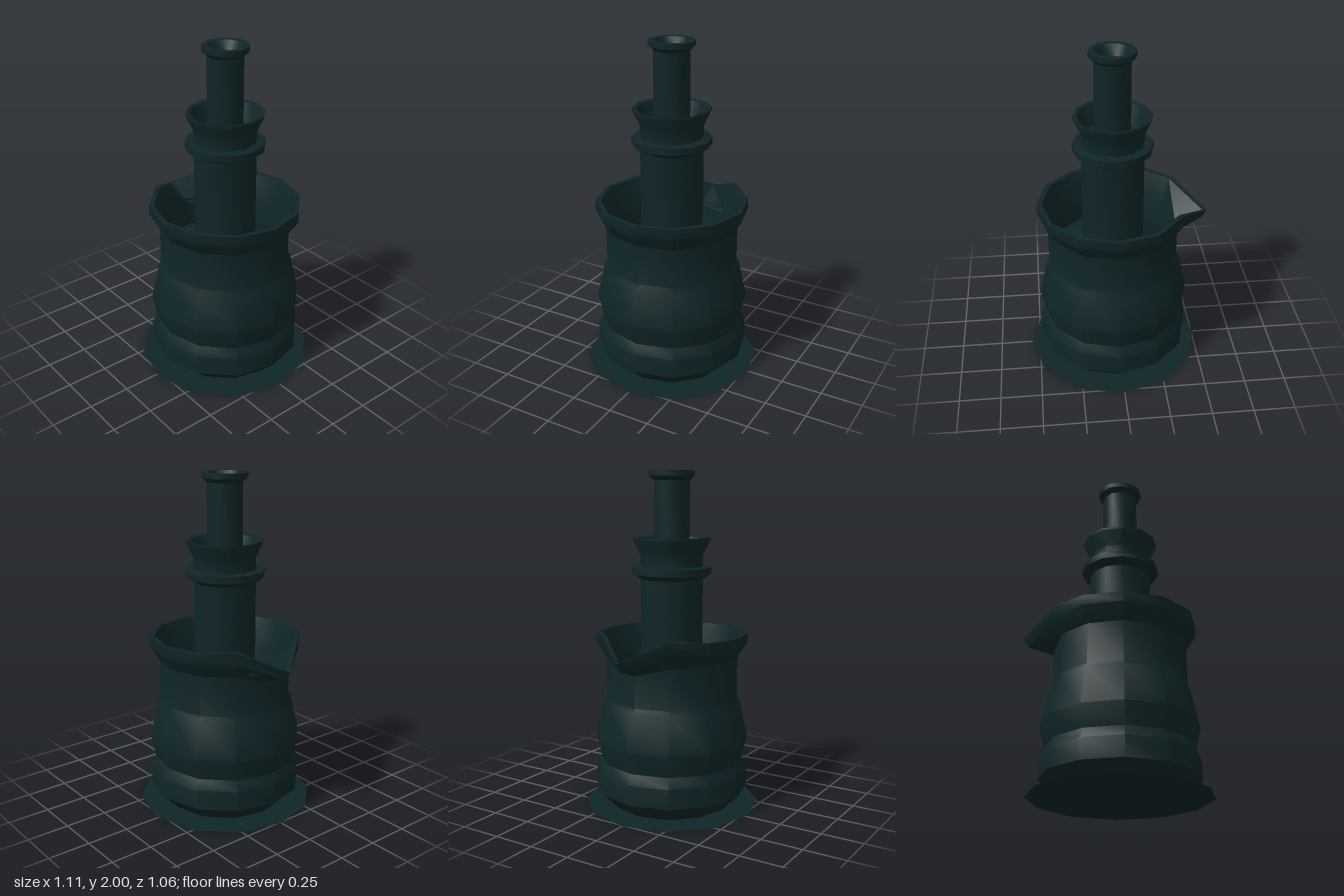
import * as THREE from 'three';
import { toCreasedNormals } from 'three/addons/utils/BufferGeometryUtils.js';

const SIDES = 12;
const CREASE = 0.6;

// Faceted turned shape; an optional rule moves the vertices before normals are made
function turned(name, profile, material, rule) {
  const points = profile.map(([r, y]) => new THREE.Vector2(r, y));
  const geometry = new THREE.LatheGeometry(points, SIDES);
  if (rule) {
    const pos = geometry.attributes.position;
    for (let i = 0; i < pos.count; i++) {
      const column = Math.floor(i / points.length) % SIDES;
      rule(pos, i, column, i % points.length);
    }
  }
  const mesh = new THREE.Mesh(toCreasedNormals(geometry, CREASE), material);
  mesh.name = name;
  return mesh;
}

export function createModel() {
  const darkTeal = new THREE.MeshStandardMaterial({ color: 0x0f2527, side: THREE.DoubleSide });
  darkTeal.name = 'darkTeal';

  const model = new THREE.Group();
  model.name = 'pouringVessel';
  const turnedParts = new THREE.Group();
  turnedParts.name = 'turnedParts';
  turnedParts.position.x = 0.02;
  model.add(turnedParts);

  // Flat sheet under the vessel
  const base = new THREE.Mesh(new THREE.CircleGeometry(0.53, SIDES), darkTeal);
  base.name = 'baseSheet';
  base.rotation.x = Math.PI / 2;
  turnedParts.add(base);

  // Bulging body below the rim
  turnedParts.add(turned('body', [
    [0.36, 0], [0.46, 0.1], [0.46, 0.22], [0.43, 0.28], [0.46, 0.41],
    [0.412, 0.63], [0.396, 0.66], [0.396, 0.9],
  ], darkTeal));

  // Flared rim and bowl, with the column at -x drawn out into a spout
  const spout = { 0: [-0.4, 0.85], 1: [-0.54, 0.9], 2: [-0.575, 0.95], 3: [-0.545, 0.955], 4: [-0.38, 0.88] };
  turnedParts.add(turned('rimAndSpout', [
    [0.396, 0.9], [0.455, 0.99], [0.455, 1.05], [0.425, 1.05],
    [0.37, 0.88], [0.36, 0.74], [0.19, 0.83],
  ], darkTeal, (pos, i, column, row) => {
    if (column === 9 && spout[row]) pos.setXYZ(i, spout[row][0], spout[row][1], 0);
    // The rim rises slightly beside the spout
    if ((column === 8 || column === 10) && (row === 2 || row === 3)) pos.setY(i, 1.063);
  }));

  // Thick lower stem with its collar and open cup
  turnedParts.add(turned('stemAndCup', [
    [0.185, 0.78], [0.185, 1.37], [0.235, 1.4], [0.235, 1.44], [0.185, 1.445],
    [0.185, 1.51], [0.228, 1.6], [0.228, 1.615], [0.205, 1.61], [0.16, 1.5], [0.1, 1.48],
  ], darkTeal));

  // Narrow pipe with a flared, hollow mouth
  turnedParts.add(turned('pipe', [
    [0.105, 1.46], [0.105, 1.945], [0.135, 1.97], [0.135, 2], [0.1, 2],
    [0.066, 1.94], [0, 1.94],
  ], darkTeal));

  return model;
}
